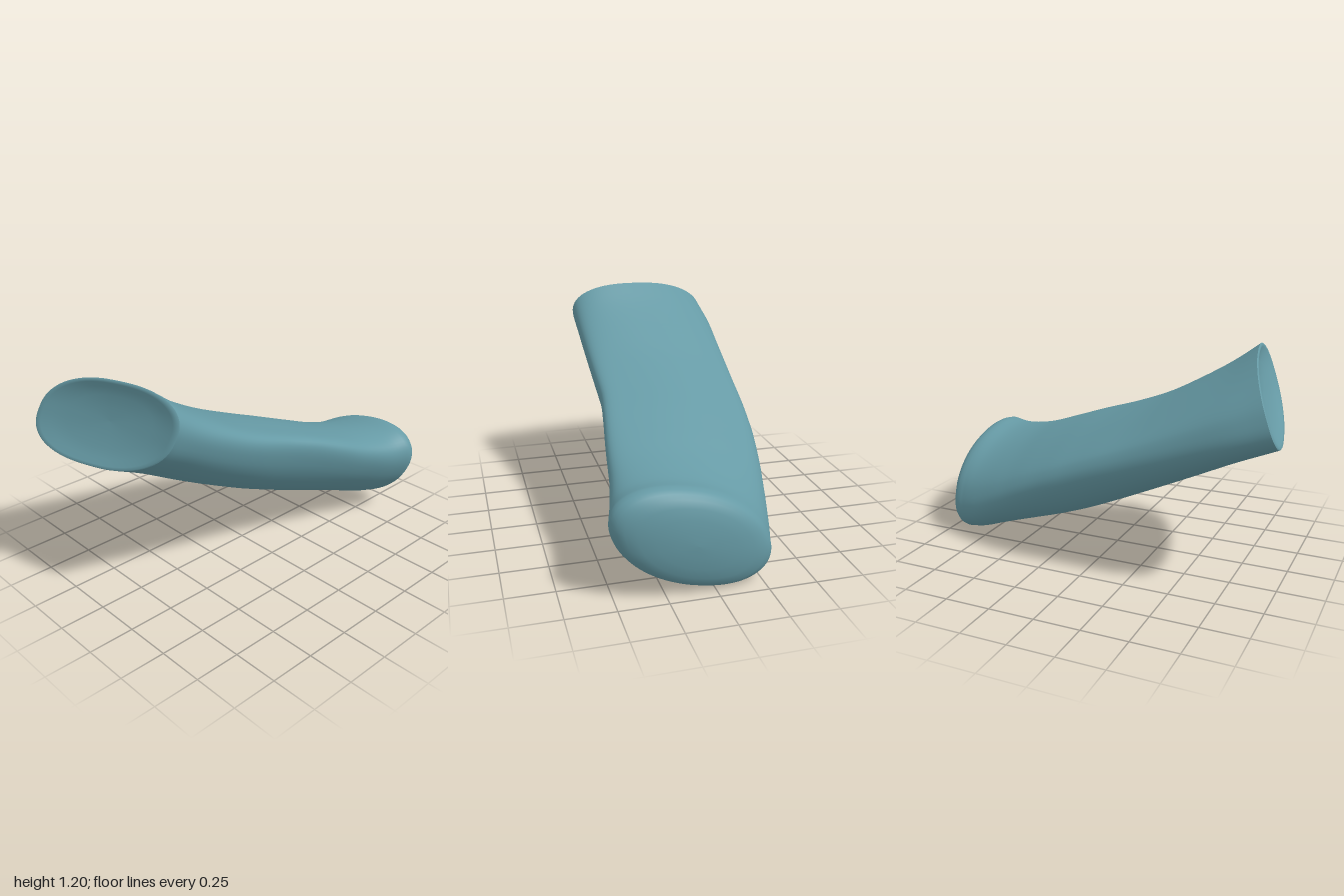
import * as THREE from 'three';

const SIDES = 72;
const STEPS = 40;

// Stations along the limb: x, top y, bottom y, back z, front z,
// lean of the oval, slant of the cut, lift of its tips, squareness (1 is a plain oval)
const stations = [
  [-0.87, 1.20, 0.775, -0.505, 0.38, 0.25, 1.00, 0, 0.86],
  [-0.70, 1.10, 0.685, -0.52, 0.375, 0.26, 0.70, 0.08, 0.88],
  [-0.50, 1.00, 0.565, -0.51, 0.37, 0.27, 0.35, 0.18, 0.90],
  [-0.25, 0.88, 0.43, -0.495, 0.365, 0.28, 0.10, 0.29, 0.92],
  [0.00, 0.78, 0.31, -0.48, 0.365, 0.30, 0, 0.36, 0.93],
  [0.20, 0.71, 0.23, -0.46, 0.39, 0.33, 0, 0.35, 0.94],
  [0.40, 0.64, 0.16, -0.425, 0.42, 0.36, 0, 0.28, 0.95],
  [0.60, 0.575, 0.09, -0.38, 0.445, 0.39, 0, 0.17, 0.95],
  [0.78, 0.547, 0.025, -0.335, 0.485, 0.41, 0.05, 0.06, 0.95],
  [0.89, 0.56, 0.00, -0.30, 0.515, 0.41, 0.10, 0, 0.95],
];

// Smooth rails through the stations
const rail = (...cols) => new THREE.CatmullRomCurve3(
  stations.map((s) => new THREE.Vector3(...cols.map((c) => s[c]))));
const heights = rail(0, 1, 2);
const widths = rail(3, 4, 8);
const shape = rail(5, 6, 7);

// One leaning oval ring; shift moves it along x, scale shrinks it for the caps
function ring(t, scale = 1, shift = 0) {
  const h = heights.getPoint(t), w = widths.getPoint(t), s = shape.getPoint(t);
  const cy = (h.y + h.z) / 2, ry = (h.y - h.z) / 2;
  const cz = (w.x + w.y) / 2, rz = (w.y - w.x) / 2;
  const phase = Math.asin(s.x);
  const full = (v) => Math.sign(v) * Math.abs(v) ** w.z;
  const points = [];
  for (let j = 0; j < SIDES; j++) {
    const a = (j / SIDES) * Math.PI * 2;
    const dy = ry * scale * (full(Math.sin(a + phase)) + s.z * Math.cos(a) ** 4);
    const dz = rz * scale * full(Math.cos(a));
    const slant = s.y * (0.37 * dy + 0.19 * dz);
    points.push(h.x + shift + slant, cy + dy, cz + dz);
  }
  return points;
}

// Skin a list of rings, closed around, with smooth normals
function loft(rings) {
  const index = [];
  for (let i = 0; i < rings.length - 1; i++) {
    for (let j = 0; j < SIDES; j++) {
      const a = i * SIDES + j, b = i * SIDES + ((j + 1) % SIDES);
      index.push(a, a + SIDES, b, b, a + SIDES, b + SIDES);
    }
  }
  const geometry = new THREE.BufferGeometry();
  geometry.setAttribute('position', new THREE.Float32BufferAttribute(rings.flat(), 3));
  geometry.setIndex(index);
  geometry.computeVertexNormals();
  return geometry;
}

export function createModel() {
  const model = new THREE.Group();
  model.name = 'curvedLimb';
  const teal = new THREE.MeshStandardMaterial({ color: 0x669aa5 });
  teal.name = 'teal';

  const add = (name, rings) => {
    const mesh = new THREE.Mesh(loft(rings), teal);
    mesh.name = name;
    model.add(mesh);
  };

  // Long body, with its lower end rounded into a shallow dome
  const body = [];
  for (let i = 0; i <= STEPS; i++) body.push(ring(i / STEPS));
  const dome = [[0.98, 0.028], [0.93, 0.053], [0.85, 0.073], [0.71, 0.089],
    [0.5, 0.101], [0.25, 0.108], [0.001, 0.11]];
  for (const [scale, shift] of dome) body.push(ring(1, scale, shift));
  add('body', body);

  // Slanted upper end: soft rim around a slightly hollow face
  const hollow = [[0.001, 0.04], [0.3, 0.037], [0.6, 0.027], [0.8, 0.013],
    [0.92, -0.003], [0.975, -0.006], [1, 0]];
  add('hollowEnd', hollow.map(([scale, shift]) => ring(0, scale, shift)));

  // Centre the model and stand it on the ground
  const box = new THREE.Box3().setFromObject(model);
  const centre = box.getCenter(new THREE.Vector3());
  model.position.set(-centre.x, -box.min.y, -centre.z);
  return model;
}
